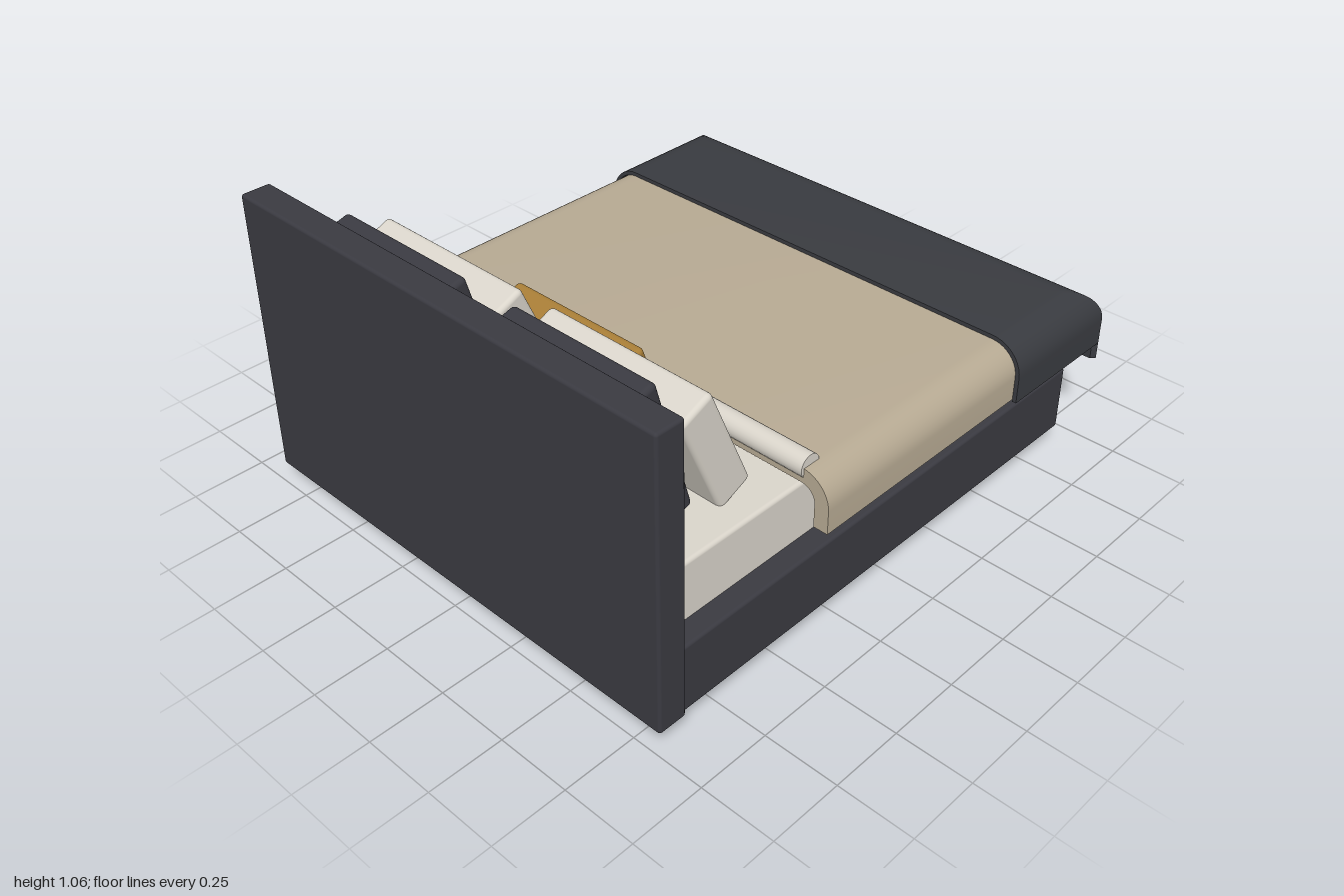
import * as THREE from 'three';
import { RoundedBoxGeometry } from 'three/addons/geometries/RoundedBoxGeometry.js';
import { toCreasedNormals } from 'three/addons/utils/BufferGeometryUtils.js';

const mat = (name, color, side = THREE.FrontSide) => {
  const m = new THREE.MeshStandardMaterial({ color, side });
  m.name = name;
  return m;
};

// Path of [horizontal, y] points: flat top, rounded shoulder, straight drop.
function shoulder(edge, top, r, bottom, steps = 10) {
  const pts = [];
  for (let i = 0; i <= steps; i++) {
    const a = (i / steps) * Math.PI / 2;
    pts.push([edge - r + r * Math.sin(a), top - r + r * Math.cos(a)]);
  }
  pts.push([edge, bottom]);
  return pts;
}

// Cloth with thickness, draped over both sides and, if footBottom is given, over the foot.
function drapeGeometry({ x0, x1, top, half, r, sideBottom, footBottom, t }) {
  const layer = (d) => {
    const side = shoulder(half - d, top - d, r - d, sideBottom);
    const across = [...side.map(([z, y]) => [-z, y]).reverse(), ...side];
    const along = footBottom === undefined
      ? [[x0, top - d], [x1, top - d]]
      : [[x0, top - d], ...shoulder(x1 - d, top - d, r - d, footBottom)];
    return along.map(([x, yx]) => across.map(([z, yz]) => new THREE.Vector3(x, Math.min(yx, yz), z)));
  };
  const outer = layer(0), inner = layer(t), pos = [];
  const tri = (a, b, c) => {
    const area = b.clone().sub(a).cross(c.clone().sub(a)).length();
    if (area > 1e-9) for (const p of [a, b, c]) pos.push(p.x, p.y, p.z);
  };
  const quad = (a, b, c, d) => { tri(a, b, c); tri(a, c, d); };
  const nu = outer.length - 1, nv = outer[0].length - 1;
  for (let u = 0; u < nu; u++) {
    for (let v = 0; v < nv; v++) {
      quad(outer[u][v], outer[u][v + 1], outer[u + 1][v + 1], outer[u + 1][v]);
      quad(inner[u][v], inner[u + 1][v], inner[u + 1][v + 1], inner[u][v + 1]);
    }
    // side hems
    quad(outer[u][0], outer[u + 1][0], inner[u + 1][0], inner[u][0]);
    quad(outer[u][nv], inner[u][nv], inner[u + 1][nv], outer[u + 1][nv]);
  }
  for (let v = 0; v < nv; v++) {
    // head and foot hems
    quad(outer[0][v], inner[0][v], inner[0][v + 1], outer[0][v + 1]);
    quad(outer[nu][v], outer[nu][v + 1], inner[nu][v + 1], inner[nu][v]);
  }
  const g = new THREE.BufferGeometry();
  g.setAttribute('position', new THREE.Float32BufferAttribute(pos, 3));
  return toCreasedNormals(g, 0.6);
}

export function createModel() {
  const bed = new THREE.Group();
  bed.name = 'bed';
  const charcoal = mat('charcoal upholstery', 0x3a3a41);
  const throwCloth = mat('dark throw', 0x393b40, THREE.DoubleSide);
  const linen = mat('off-white linen', 0xdad5cb);
  const beige = mat('beige duvet', 0xb7aa93, THREE.DoubleSide);
  const gold = mat('ochre cushion', 0xa77d36);
  const wood = mat('dark wood', 0x472e25);

  const add = (name, geometry, material) => {
    const mesh = new THREE.Mesh(geometry, material);
    mesh.name = name;
    bed.add(mesh);
    return mesh;
  };
  // Rounded box from x and y limits, centred on z
  const block = (name, x0, x1, y0, y1, width, radius, material) =>
    add(name, new RoundedBoxGeometry(x1 - x0, y1 - y0, width, 3, radius), material)
      .position.set((x0 + x1) / 2, (y0 + y1) / 2, 0);

  // Base, frame, headboard and mattress
  add('plinth', new THREE.BoxGeometry(1.64, 0.09, 1.5), wood).position.set(-0.01, 0.045, 0);
  block('frame', -0.91, 0.893, 0.08, 0.312, 1.675, 0.01, charcoal);
  block('headboard', -1, -0.9, 0.08, 1.06, 1.7, 0.01, charcoal);
  block('mattress', -0.825, 0.875, 0.3, 0.507, 1.53, 0.012, linen);

  // Bedding
  add('duvet', drapeGeometry({
    x0: -0.36, x1: 0.9, top: 0.567, half: 0.87, r: 0.1, sideBottom: 0.387, t: 0.05,
  }), beige);
  add('throw', drapeGeometry({
    x0: 0.53, x1: 1, top: 0.582, half: 0.885, r: 0.11, sideBottom: 0.38, footBottom: 0.32, t: 0.014,
  }), throwCloth);
  const roll = add('foldedSheet', new THREE.CylinderGeometry(0.038, 0.038, 1.555, 24), linen);
  roll.rotation.x = Math.PI / 2;
  roll.position.set(-0.333, 0.562, 0);

  // Leaning pillows
  const pillow = (name, x, y, z, thick, height, width, tilt, material) => {
    const p = add(name, new RoundedBoxGeometry(thick, height, width, 3, 0.016), material);
    p.position.set(x, y, z);
    p.rotation.z = THREE.MathUtils.degToRad(tilt);
  };
  for (const [side, s] of [['left', -1], ['right', 1]]) {
    pillow(side + 'BackPillow', -0.773, 0.751, s * 0.368, 0.118, 0.48, 0.54, 16, charcoal);
    pillow(side + 'FrontPillow', -0.599, 0.696, s * 0.368, 0.128, 0.395, 0.615, 23.5, linen);
  }
  pillow('accentCushion', -0.464, 0.634, 0, 0.1, 0.27, 0.53, 19, gold);

  return bed;
}
